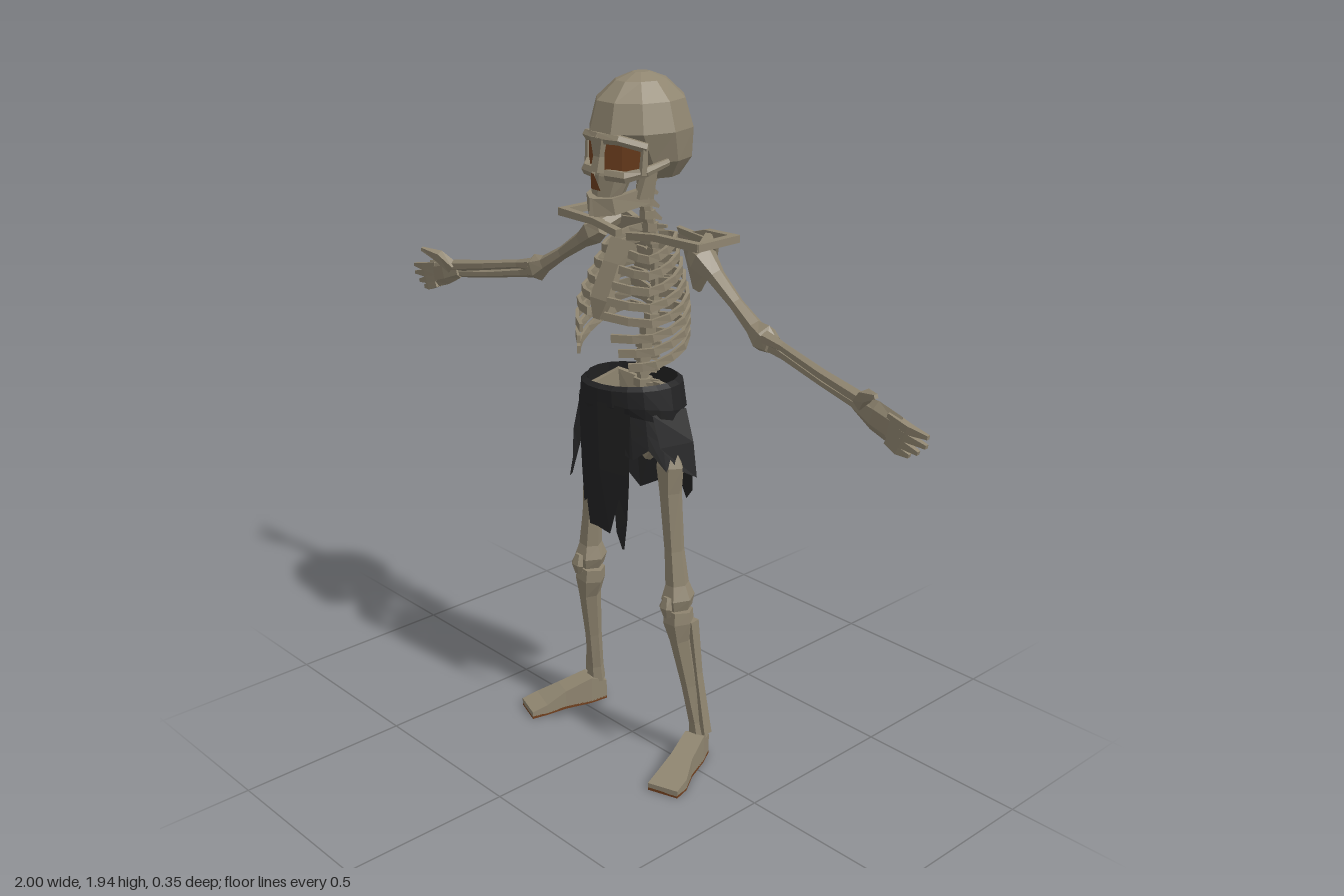
import * as THREE from 'three';

const boneMat = new THREE.MeshStandardMaterial({ color: 0x8f8570 });
boneMat.name = 'bone';
const rustMat = new THREE.MeshStandardMaterial({ color: 0x70401f, side: THREE.DoubleSide });
rustMat.name = 'rustBrown';
const clothMat = new THREE.MeshStandardMaterial({ color: 0x232324, side: THREE.DoubleSide });
clothMat.name = 'blackCloth';

const X = new THREE.Vector3(1, 0, 0), Y = new THREE.Vector3(0, 1, 0), Z = new THREE.Vector3(0, 0, 1);

function facetMesh(name, corners, mat) {
  const g = new THREE.BufferGeometry().setFromPoints(corners); // unshared corners keep facets flat
  g.computeVertexNormals();
  const m = new THREE.Mesh(g, mat);
  m.name = name;
  return m;
}

// Loft through points [x, y, z, a, b]; b is the radius along ref, a the one across it.
function loft(name, pts, { sides = 6, ref = Z, dir = null, mat = boneMat } = {}) {
  const c = pts.map(p => new THREE.Vector3(p[0], p[1], p[2]));
  const n = c.length, k = sides === 4 ? Math.SQRT2 : 1, phase = sides === 4 ? Math.PI / 4 : 0;
  const rings = pts.map((p, i) => {
    const t = dir ? dir.clone() : c[Math.min(i + 1, n - 1)].clone().sub(c[Math.max(i - 1, 0)]);
    t.normalize();
    const u = ref.clone().addScaledVector(t, -ref.dot(t)).normalize();
    const v = u.clone().cross(t), a = p[3] * k, b = (p[4] ?? p[3]) * k;
    return Array.from({ length: sides }, (_, j) => {
      const q = phase + j / sides * Math.PI * 2;
      return c[i].clone().addScaledVector(v, a * Math.cos(q)).addScaledVector(u, b * Math.sin(q));
    });
  });
  const out = [];
  for (let j = 0; j < sides; j++) {
    const l = (j + 1) % sides;
    for (let i = 0; i < n - 1; i++) {
      const A = rings[i], B = rings[i + 1];
      out.push(A[j], A[l], B[l], A[j], B[l], B[j]);
    }
    out.push(c[0], rings[0][l], rings[0][j], c[n - 1], rings[n - 1][j], rings[n - 1][l]);
  }
  return facetMesh(name, out, mat);
}

// Sheet over rows of [x, y, z] points.
function sheet(name, rows, mat) {
  const v = rows.map(r => r.map(p => new THREE.Vector3(...p))), out = [];
  for (let i = 0; i < v.length - 1; i++)
    for (let j = 0; j < v[i].length - 1; j++) {
      const a = v[i][j], b = v[i][j + 1], c = v[i + 1][j], d = v[i + 1][j + 1];
      out.push(a, c, d, a, d, b);
    }
  return facetMesh(name, out, mat);
}

export function createModel() {
  const model = new THREE.Group();
  model.name = 'skeleton';
  const add = (name, pts, opt) => model.add(loft(name, pts, opt));
  const pair = (name, pts, opt = {}) => [['left', 1], ['right', -1]].forEach(([side, s]) => {
    const o = { ...opt };
    if (o.dir) o.dir = o.dir.clone().multiply(new THREE.Vector3(s, 1, 1));
    add(side + name, pts.map(([x, ...r]) => [x * s, ...r]), o);
  });

  // Skull
  add('cranium', [[0, 1.67, -0.075, 0.07, 0.07], [0, 1.72, -0.06, 0.11, 0.118], [0, 1.8, -0.032, 0.128, 0.15],
    [0, 1.875, -0.03, 0.108, 0.128], [0, 1.922, -0.03, 0.06, 0.075], [0, 1.94, -0.03, 0.02, 0.025]], { sides: 10, dir: Y });
  add('upperJaw', [[0, 1.635, 0.085, 0.047, 0.036], [0, 1.69, 0.072, 0.068, 0.044], [0, 1.73, 0.06, 0.06, 0.04]], { sides: 8, dir: Y });
  add('noseBridge', [[0, 1.79, 0.113, 0.022, 0.012], [0, 1.74, 0.112, 0.012, 0.012], [0, 1.7, 0.122, 0.013, 0.012]], { sides: 4 });
  pair('Brow', [[0, 1.787, 0.112, 0.014, 0.016], [0.06, 1.788, 0.1, 0.014, 0.014], [0.11, 1.768, 0.05, 0.012, 0.014]], { ref: Y });
  pair('Cheekbone', [[0.02, 1.695, 0.108, 0.012, 0.016], [0.075, 1.694, 0.092, 0.014, 0.016],
    [0.108, 1.708, 0.05, 0.01, 0.014], [0.115, 1.725, -0.02, 0.007, 0.01]], { ref: Y });
  pair('OuterOrbit', [[0.107, 1.775, 0.055, 0.009], [0.104, 1.7, 0.058, 0.012]]);
  pair('JawRamus', [[0.085, 1.71, 0.015, 0.01, 0.018], [0.072, 1.63, 0.025, 0.01, 0.026]], { sides: 4 });
  pair('JawBody', [[0.073, 1.638, 0.015, 0.01, 0.022], [0.042, 1.617, 0.105, 0.012, 0.022], [0, 1.612, 0.132, 0.013, 0.024]], { ref: Y, sides: 4 });
  for (const s of [1, -1])
    model.add(sheet(s > 0 ? 'leftEyeSocket' : 'rightEyeSocket', [1.78, 1.706].map(y =>
      [[s * 0.014, y, 0.108], [s * 0.06, y, 0.09], [s * 0.105, y, 0.058]]), rustMat));
  model.add(sheet('noseHole', [[[-0.005, 1.7, 0.138], [0.005, 1.7, 0.138]], [[-0.018, 1.655, 0.126], [0.018, 1.655, 0.126]]], rustMat));

  // Spine with its vertebrae and back spikes
  const spine = new THREE.CatmullRomCurve3([[1.69, -0.035], [1.6, -0.045], [1.52, -0.068], [1.4, -0.092],
    [1.29, -0.08], [1.2, -0.045], [1.08, -0.04]].map(([y, z]) => new THREE.Vector3(0, y, z)));
  add('spineCore', spine.getPoints(14).map(p => [p.x, p.y, p.z, 0.017]));
  for (let i = 0; i < 17; i++) {
    const p = spine.getPointAt((i + 0.5) / 17), r = 0.02 + 0.007 * i / 16;
    add('vertebra', [[0, p.y - 0.011, p.z, r], [0, p.y + 0.011, p.z, r]]);
    add('vertebraSpike', [[0, p.y, p.z - 0.01, 0.008, 0.012], [0, p.y - 0.022, p.z - 0.05, 0.003, 0.004]], { sides: 4, ref: Y });
    if (i > 3) pair('VertebraWing', [[0.01, p.y, p.z - 0.01, 0.007], [0.043, p.y + 0.004, p.z - 0.02, 0.004]], { sides: 4 });
  }

  // Breastbone and ribs
  add('breastbone', [[0, 1.505, 0.03, 0.042, 0.01], [0, 1.45, 0.068, 0.03, 0.01], [0, 1.36, 0.112, 0.034, 0.01],
    [0, 1.31, 0.122, 0.012, 0.008]], { sides: 4 });
  for (let i = 0; i < 8; i++) {
    const t = i / 7, y = 1.505 - 0.225 * t, w = 0.1 + 0.068 * Math.min(1, t * 1.6);
    const drop = 0.04 + 0.045 * t, zf = 0.045 + 0.085 * Math.sin(Math.PI * t * 0.75);
    const endX = i < 5 ? 0.03 : 0.06 + 0.02 * (i - 5);
    const path = [[0.015, y, -0.085], [w * 0.65, y + 0.004, -0.098], [w, y - drop * 0.45, -0.03],
      [w * 0.9, y - drop * 0.9, zf * 0.5], [endX, y - drop + (i < 5 ? 0.015 : 0), zf]];
    const curve = new THREE.CatmullRomCurve3(path.map(p => new THREE.Vector3(...p)));
    pair('Rib', curve.getPoints(8).map(p => [p.x, p.y, p.z, 0.005, 0.011]), { sides: 4, ref: Y });
  }

  // Shoulder frame and shoulder blades
  pair('Collarbone', [[0.02, 1.522, 0.03, 0.011, 0.01], [0.12, 1.535, 0.025, 0.009, 0.009], [0.27, 1.535, 0.015, 0.012, 0.011]], { sides: 4, ref: Y });
  pair('ShoulderTip', [[0.262, 1.535, 0.025, 0.011, 0.01], [0.262, 1.535, -0.125, 0.011, 0.01]], { sides: 4, ref: Y });
  pair('BladeRidge', [[0.27, 1.535, -0.115, 0.011, 0.01], [0.16, 1.53, -0.12, 0.01, 0.01], [0.055, 1.5, -0.115, 0.007, 0.008]], { sides: 4, ref: Y });
  pair('ShoulderBlade', [[0.135, 1.525, -0.11, 0.075, 0.006], [0.13, 1.47, -0.122, 0.06, 0.006], [0.105, 1.36, -0.14, 0.012, 0.005]], { sides: 4 });
  pair('ShoulderSocket', [[0.175, 1.52, -0.115, 0.02], [0.2, 1.49, -0.06, 0.025]], { ref: Y });

  // Arms
  pair('UpperArm', [[0.175, 1.495, -0.055, 0.024], [0.21, 1.482, -0.055, 0.04], [0.26, 1.446, -0.053, 0.025],
    [0.34, 1.392, -0.047, 0.019], [0.41, 1.347, -0.042, 0.024], [0.445, 1.328, -0.04, 0.04, 0.034], [0.475, 1.318, -0.039, 0.026]]);
  pair('Radius', [[0.46, 1.335, -0.03, 0.02], [0.52, 1.325, -0.028, 0.013], [0.66, 1.296, -0.012, 0.015], [0.8, 1.268, -0.004, 0.018]]);
  pair('Ulna', [[0.45, 1.318, -0.045, 0.024], [0.52, 1.298, -0.043, 0.015], [0.66, 1.267, -0.026, 0.012], [0.8, 1.244, -0.01, 0.014]]);
  pair('Palm', [[0.78, 1.257, -0.005, 0.024, 0.014], [0.84, 1.242, 0, 0.04, 0.016], [0.91, 1.22, 0, 0.042, 0.012]]);
  [[1, 1.232], [0.997, 1.208], [0.975, 1.186], [0.95, 1.172]].forEach(([x, y], i) => pair('Finger',
    [[0.885, 1.252 - i * 0.019, 0, 0.011, 0.011], [0.945 - i * 0.008, 1.237 - i * 0.019, 0.004, 0.011, 0.01], [x, y, 0.002, 0.005]], { sides: 4 }));
  pair('Thumb', [[0.8, 1.262, 0.005, 0.014], [0.835, 1.297, 0.03, 0.013], [0.885, 1.314, 0.055, 0.005]], { sides: 4 });

  // Pelvis
  add('sacrum', [[0, 0.98, -0.06, 0.015, 0.012], [0, 1.1, -0.05, 0.045, 0.022]], { sides: 6 });
  pair('HipBlade', [[0.03, 1.06, -0.06, 0.012, 0.04], [0.09, 1.07, -0.035, 0.01, 0.045], [0.115, 1.05, 0.03, 0.01, 0.035]], { sides: 4, ref: Y });
  pair('HipSocket', [[0.095, 1.04, -0.01, 0.03], [0.085, 0.95, -0.01, 0.035], [0.05, 0.9, -0.01, 0.016]]);
  pair('PubicBone', [[0.085, 0.96, 0.01, 0.016], [0, 0.95, 0.05, 0.014]], { sides: 4, ref: Y });

  // Legs
  pair('ThighHead', [[0.08, 0.955, -0.01, 0.03], [0.15, 0.915, -0.005, 0.03]]);
  pair('Thigh', [[0.15, 0.95, 0, 0.028], [0.152, 0.905, 0, 0.047, 0.034], [0.157, 0.83, 0.002, 0.034, 0.03],
    [0.172, 0.66, 0, 0.028, 0.028], [0.182, 0.56, -0.002, 0.033, 0.034], [0.184, 0.52, -0.004, 0.048, 0.048], [0.186, 0.487, -0.005, 0.036, 0.04]]);
  pair('Kneecap', [[0.186, 0.53, 0.038, 0.014, 0.01], [0.187, 0.5, 0.046, 0.025, 0.012], [0.188, 0.472, 0.04, 0.012, 0.01]]);
  pair('Shin', [[0.185, 0.48, -0.005, 0.044, 0.04], [0.187, 0.445, -0.004, 0.046, 0.043], [0.194, 0.39, -0.008, 0.03, 0.034],
    [0.208, 0.24, -0.032, 0.023, 0.026], [0.22, 0.12, -0.05, 0.024, 0.024], [0.225, 0.07, -0.055, 0.031, 0.028]]);
  pair('Calf', [[0.218, 0.45, -0.025, 0.014], [0.226, 0.28, -0.042, 0.011], [0.245, 0.085, -0.058, 0.014]], { sides: 4 });

  // Feet and brown soles
  const toeward = new THREE.Vector3(0.33, 0, 0.94);
  const foot = [[0.215, 0.034, -0.08, 0.02, 0.028], [0.232, 0.046, -0.03, 0.03, 0.04], [0.262, 0.033, 0.05, 0.033, 0.027],
    [0.285, 0.02, 0.11, 0.046, 0.014], [0.297, 0.014, 0.158, 0.046, 0.008]];
  pair('Foot', foot, { sides: 4, ref: Y, dir: toeward });
  pair('Sole', foot.map(([x, , z, a]) => [x, 0.004, z, a, 0.004]), { sides: 4, ref: Y, dir: toeward, mat: rustMat });

  // Loincloth: ragged skirt, rolled waistband and hanging strips
  const hem = [0.9, 0.95, 0.93, 0.96, 0.9, 0.95, 0.93, 0.86, 0.78, 0.73, 0.86, 0.75, 0.72, 0.8, 0.84, 0.94, 0.9, 0.95, 0.92, 0.95];
  const around = (yOf, grow = 0) => Array.from({ length: hem.length + 1 }, (_, j) => {
    const q = j / hem.length * Math.PI * 2, y = yOf(hem[j % hem.length], j), d = 1.13 - y, c = Math.cos(q);
    return [Math.sin(q) * (0.138 + 0.2 * Math.min(d, 0.25) + grow), y, c * (0.112 + (c < 0 ? 0.13 : 0.02) * d + grow)];
  });
  model.add(sheet('skirt', [around(() => 1.12), around(() => 1.05), around(h => (1.05 + h) / 2), around(h => h)], clothMat));
  const wave = (y, s) => (h, j) => y + 0.012 * Math.sin(j * Math.PI * s / 10);
  model.add(sheet('waistband', [around(wave(1.125, 1)), around(wave(1.115, 1), 0.014),
    around(wave(1.065, 2), 0.012), around(wave(1.04, 3), 0.002)], clothMat));
  const strip = (name, rows) => model.add(sheet(name, rows, clothMat));
  strip('frontPanel', [[[-0.1, 1.08, 0.105], [0, 1.08, 0.128], [0.09, 1.08, 0.11]], [[-0.09, 0.88, 0.105], [0, 0.88, 0.122], [0.085, 0.88, 0.105]],
    [[-0.066, 0.69, 0.1], [-0.02, 0.7, 0.112], [0.025, 0.69, 0.106]]]);
  strip('frontLeftTatter', [[[0.03, 1.06, 0.115], [0.1, 1.06, 0.1]], [[0.035, 0.85, 0.105], [0.09, 0.85, 0.095]],
    [[0.045, 0.7, 0.1], [0.08, 0.74, 0.092]], [[0.06, 0.65, 0.092], [0.066, 0.65, 0.09]]]);
  strip('frontRightTatter', [[[-0.12, 1.06, 0.09], [-0.05, 1.06, 0.11]], [[-0.11, 0.86, 0.09], [-0.06, 0.86, 0.1]], [[-0.107, 0.74, 0.085], [-0.07, 0.77, 0.095]]]);
  strip('rightHipTatter', [[[-0.155, 1.06, 0.05], [-0.16, 1.06, -0.02]], [[-0.18, 0.93, 0.06], [-0.205, 0.93, -0.01]],
    [[-0.19, 0.84, 0.055], [-0.22, 0.85, 0.005]], [[-0.222, 0.77, 0.04], [-0.222, 0.775, 0.03]]]);
  strip('leftHipTatter', [[[0.145, 1.06, 0.06], [0.16, 1.06, -0.05]], [[0.165, 0.97, 0.05], [0.19, 0.97, -0.05]], [[0.19, 0.9, 0.0], [0.205, 0.87, -0.05]]]);
  strip('backTatter', [[[-0.08, 1.05, -0.122], [0.07, 1.05, -0.125]], [[-0.06, 0.88, -0.148], [0.05, 0.88, -0.15]], [[-0.045, 0.76, -0.16], [0.01, 0.72, -0.165]]]);

  return model;
}
